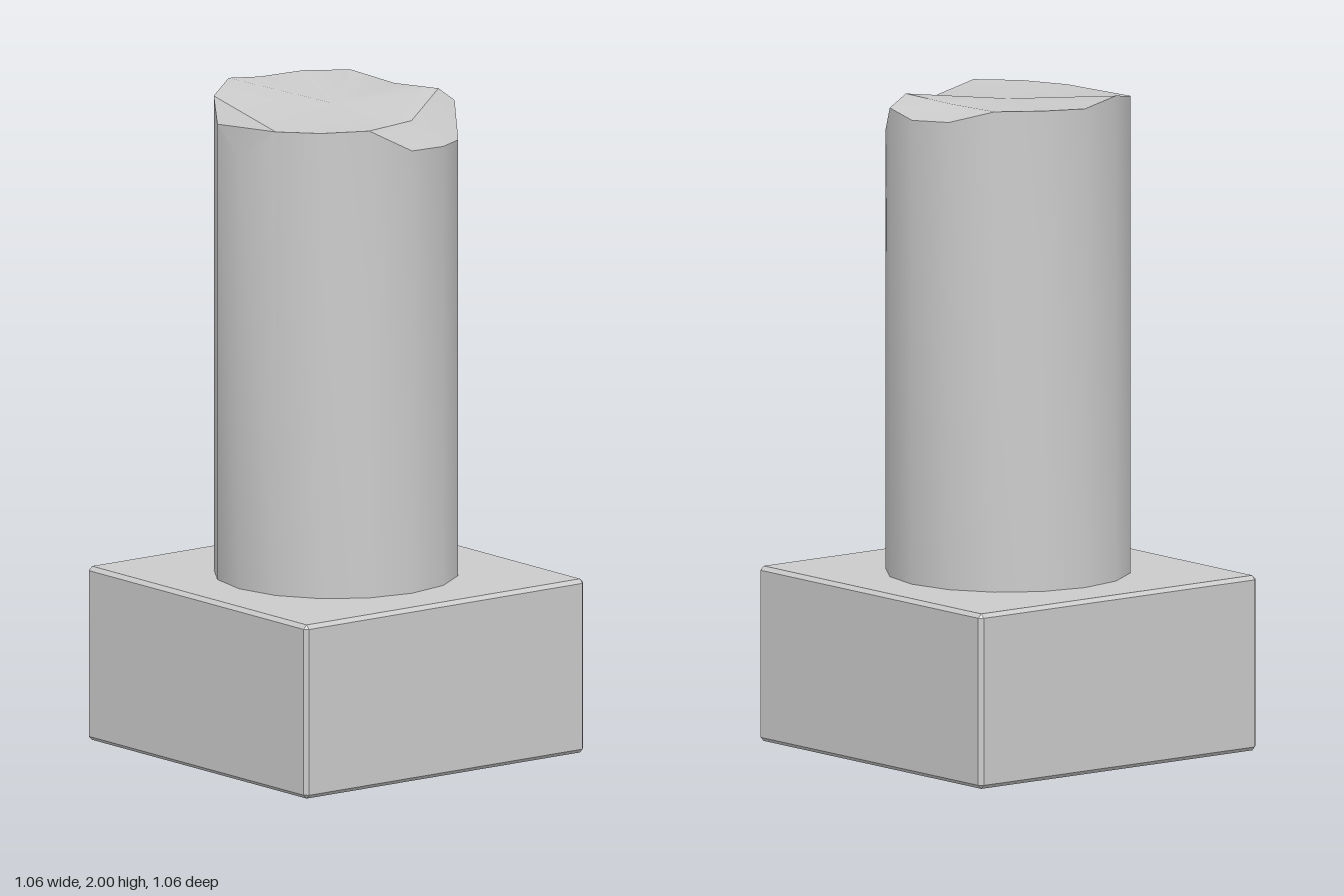
import * as THREE from 'three';
import { toCreasedNormals } from 'three/addons/utils/BufferGeometryUtils.js';
import { ConvexGeometry } from 'three/addons/geometries/ConvexGeometry.js';

const material = new THREE.MeshStandardMaterial({ color: 0xcccccc });
const BASE_HALF = 0.53, BASE_HEIGHT = 0.53, CHAMFER = 0.012;
const SIDES = 16, RADIUS = 0.367;

// Square block with every edge chamfered: each corner becomes three points
function createBase() {
  const points = [], h = BASE_HEIGHT / 2;
  for (const sx of [-1, 1]) for (const sy of [-1, 1]) for (const sz of [-1, 1]) {
    for (let axis = 0; axis < 3; axis++) {
      const inset = [0, 1, 2].map((i) => (i === axis ? 0 : CHAMFER));
      points.push(new THREE.Vector3(
        sx * (BASE_HALF - inset[0]), h + sy * (h - inset[1]), sz * (BASE_HALF - inset[2])));
    }
  }
  const mesh = new THREE.Mesh(new ConvexGeometry(points), material);
  mesh.name = 'base';
  return mesh;
}

// Round shaft whose top is broken off unevenly
function createShaft() {
  // Height of the broken rim at each side, from +x round towards +z
  const heights = [1.88, 1.955, 1.95, 1.945, 1.84, 1.92, 1.975, 2.0,
    1.98, 1.985, 1.985, 1.945, 1.935, 1.95, 1.86, 1.87];
  const ring = (y) => heights.map((h, k) => {
    const a = (k / SIDES) * Math.PI * 2;
    return new THREE.Vector3(RADIUS * Math.cos(a), y ?? h, RADIUS * Math.sin(a));
  });
  const rim = ring(), foot = ring(BASE_HEIGHT - 0.005);

  // Inner points of the break
  const centre = new THREE.Vector3(0, 1.96, 0);
  const backRidge = new THREE.Vector3(-0.05, 1.98, -0.26);
  const peak = new THREE.Vector3(0.125, 1.99, -0.29);
  const sideRidge = new THREE.Vector3(0.25, 1.94, -0.09);

  const positions = [];
  const triangle = (...corners) => corners.forEach((p) => positions.push(p.x, p.y, p.z));
  const fan = (hub, edge) => {
    for (let i = 0; i < edge.length - 1; i++) triangle(hub, edge[i + 1], edge[i]);
  };
  const rimPoints = (...ids) => ids.map((k) => rim[k]);

  // Wall
  for (let k = 0; k < SIDES; k++) {
    const n = (k + 1) % SIDES;
    triangle(foot[k], rim[k], rim[n]);
    triangle(foot[k], rim[n], foot[n]);
  }
  // Main broken face
  fan(centre, [...rimPoints(1, 2, 3, 6, 7, 8, 9, 10), backRidge, peak, sideRidge, rim[1]]);
  // Front, back and side chips
  fan(rim[3], rimPoints(4, 5, 6));
  fan(backRidge, [...rimPoints(10, 11, 12, 13), peak]);
  fan(sideRidge, [peak, ...rimPoints(13, 14, 15, 0, 1)]);

  const geometry = new THREE.BufferGeometry();
  geometry.setAttribute('position', new THREE.Float32BufferAttribute(positions, 3));
  const mesh = new THREE.Mesh(toCreasedNormals(geometry, 0.5), material);
  mesh.name = 'brokenShaft';
  return mesh;
}

export function createModel() {
  const group = new THREE.Group();
  group.name = 'brokenColumn';
  group.add(createBase(), createShaft());
  return group;
}
